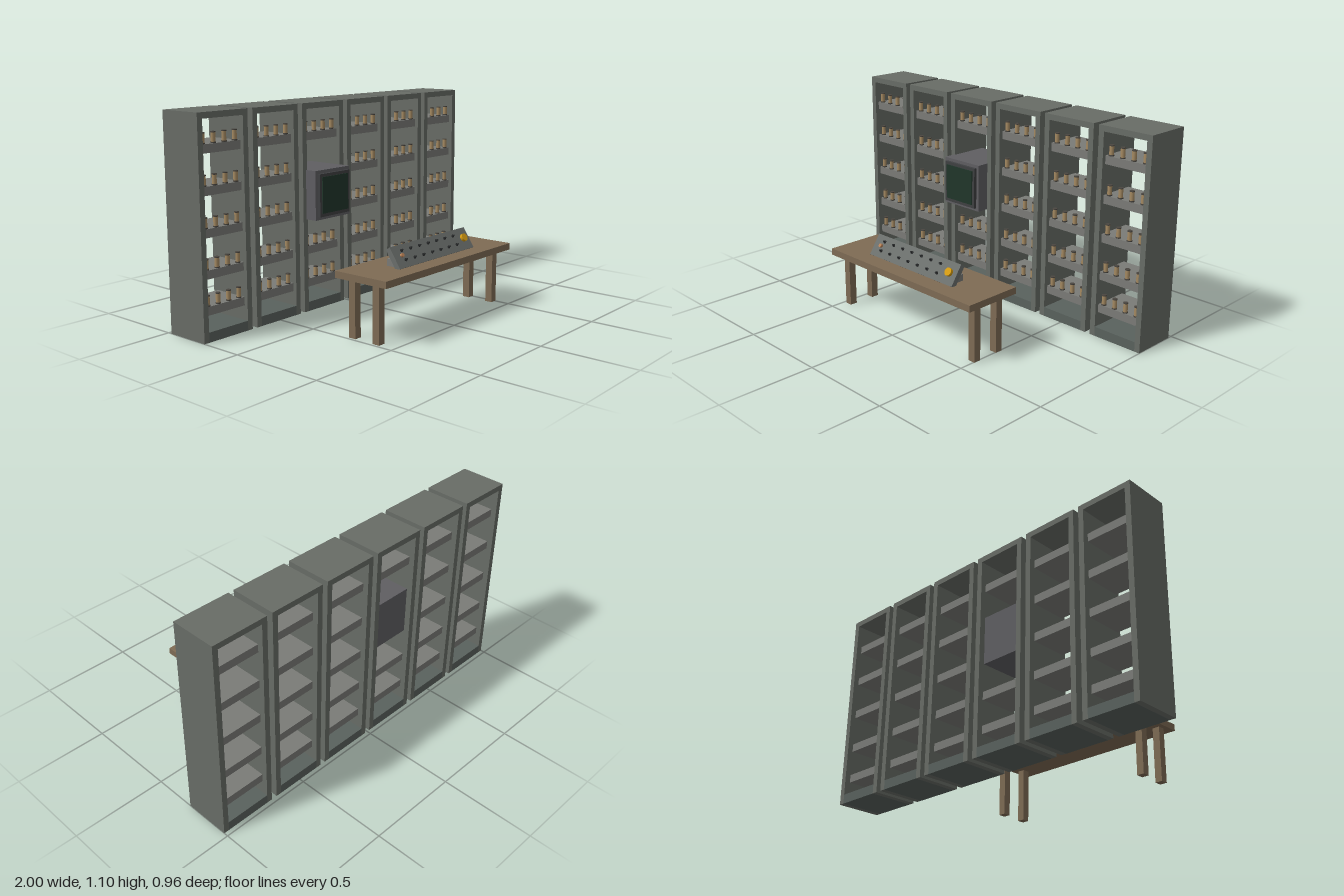
import * as THREE from 'three';

const mat = (color) => new THREE.MeshStandardMaterial({ color });
const M = {
  frame: mat(0x686c66), shelf: mat(0x7a7b77), base: mat(0x59615d),
  tube: mat(0xa58a62), socket: mat(0x4a4640), wood: mat(0x7e6b54),
  caseGrey: mat(0x5f5e62), bezel: mat(0x3f4042), screen: mat(0x20362a),
  panel: mat(0x6b6f6c), knob: mat(0x2b2d2e), yellow: mat(0xd39a12), copper: mat(0xb98258),
};

// Box given by its limits on each axis
function box(parent, name, material, [x0, x1], [y0, y1], [z0, z1]) {
  const mesh = new THREE.Mesh(new THREE.BoxGeometry(x1 - x0, y1 - y0, z1 - z0), material);
  mesh.position.set((x0 + x1) / 2, (y0 + y1) / 2, (z0 + z1) / 2);
  mesh.name = name;
  parent.add(mesh);
  return mesh;
}

function cylinder(parent, name, material, r, h, x, y, z, sides = 12) {
  const mesh = new THREE.Mesh(new THREE.CylinderGeometry(r, r, h, sides), material);
  mesh.position.set(x, y, z);
  mesh.name = name;
  parent.add(mesh);
  return mesh;
}

const W = 0.307, PITCH = 0.3386, H = 1.095, T = 0.03;
const BACK = -0.477, FRONT = -0.229;
const SHELF_TOPS = [0.168, 0.345, 0.544, 0.745, 0.944];

// Open cabinet with shelves and a row of four tubes on each
function makeCabinet(index) {
  const g = new THREE.Group();
  g.name = 'cabinet' + (index + 1);
  g.position.x = (index - 2.5) * PITCH;
  const inner = W / 2 - T, depth = [BACK, FRONT];
  box(g, 'rightWall', M.frame, [-W / 2, -inner], [0, H], depth);
  box(g, 'leftWall', M.frame, [inner, W / 2], [0, H], depth);
  box(g, 'cabinetTop', M.frame, [-inner, inner], [H - T, H], depth);
  box(g, 'cabinetBase', M.base, [-inner, inner], [0, 0.05], depth);
  SHELF_TOPS.forEach((top, level) => {
    if (index === 2 && (level === 2 || level === 3)) return; // room for the monitor
    box(g, 'shelf', M.shelf, [-inner, inner], [top - 0.043, top], [BACK + 0.03, -0.25]);
    for (let i = 0; i < 4; i++) {
      const x = (i - 1.5) * 0.066;
      cylinder(g, 'tubeSocket', M.socket, 0.0135, 0.006, x, top + 0.003, -0.264);
      cylinder(g, 'tube', M.tube, 0.0115, 0.044, x, top + 0.028, -0.264);
      cylinder(g, 'tubeCap', M.socket, 0.0125, 0.005, x, top + 0.0525, -0.264);
    }
  });
  return g;
}

function makeMonitor() {
  const g = new THREE.Group();
  g.name = 'monitor';
  box(g, 'monitorCase', M.caseGrey, [-0.301, -0.043], [0.495, 0.753], [-0.445, -0.163]);
  box(g, 'monitorBezel', M.bezel, [-0.284, -0.06], [0.512, 0.736], [-0.163, -0.147]);
  box(g, 'screen', M.screen, [-0.269, -0.075], [0.53, 0.72], [-0.147, -0.142]);
  return g;
}

function makeTable() {
  const g = new THREE.Group();
  g.name = 'table';
  box(g, 'tableTop', M.wood, [-0.51, 0.535], [0.292, 0.327], [0.161, 0.478]);
  for (const x of [-0.465, 0.485])
    for (const z of [0.246, 0.395])
      box(g, 'tableLeg', M.wood, [x - 0.02, x + 0.02], [0, 0.292], [z - 0.02, z + 0.02]);
  return g;
}

// Sloping control panel: local y runs up the slope, local z out of its face
function makeConsole() {
  const g = new THREE.Group();
  g.name = 'console';
  box(g, 'consoleSupport', M.shelf, [-0.275, 0.298], [0.327, 0.363], [0.288, 0.365]);
  const panel = new THREE.Group();
  panel.name = 'controlPanel';
  panel.position.set(0.012, 0.33, 0.389);
  panel.rotation.x = -Math.atan2(0.067, 0.1);
  g.add(panel);
  box(panel, 'panelBody', M.panel, [-0.309, 0.309], [0, 0.118], [-0.028, 0]);
  // Two rows of small switches
  for (let i = 0; i < 7; i++)
    for (const y of [0.037, 0.087]) {
      const x = -0.241 + i * 0.071;
      cylinder(panel, 'switchBase', M.knob, 0.008, 0.004, x, y, 0.002).rotation.x = Math.PI / 2;
      cylinder(panel, 'switch', M.knob, 0.004, 0.014, x, y, 0.007, 8).rotation.x = Math.PI / 2;
    }
  cylinder(panel, 'indicator', M.copper, 0.01, 0.012, -0.255, 0.062, 0.006).rotation.x = Math.PI / 2;
  cylinder(panel, 'dial', M.yellow, 0.021, 0.015, 0.26, 0.062, 0.0075, 20).rotation.x = Math.PI / 2;
  return g;
}

export function createModel() {
  const model = new THREE.Group();
  model.name = 'computerRoom';
  for (let i = 0; i < 6; i++) model.add(makeCabinet(i));
  model.add(makeMonitor(), makeTable(), makeConsole());
  return model;
}
